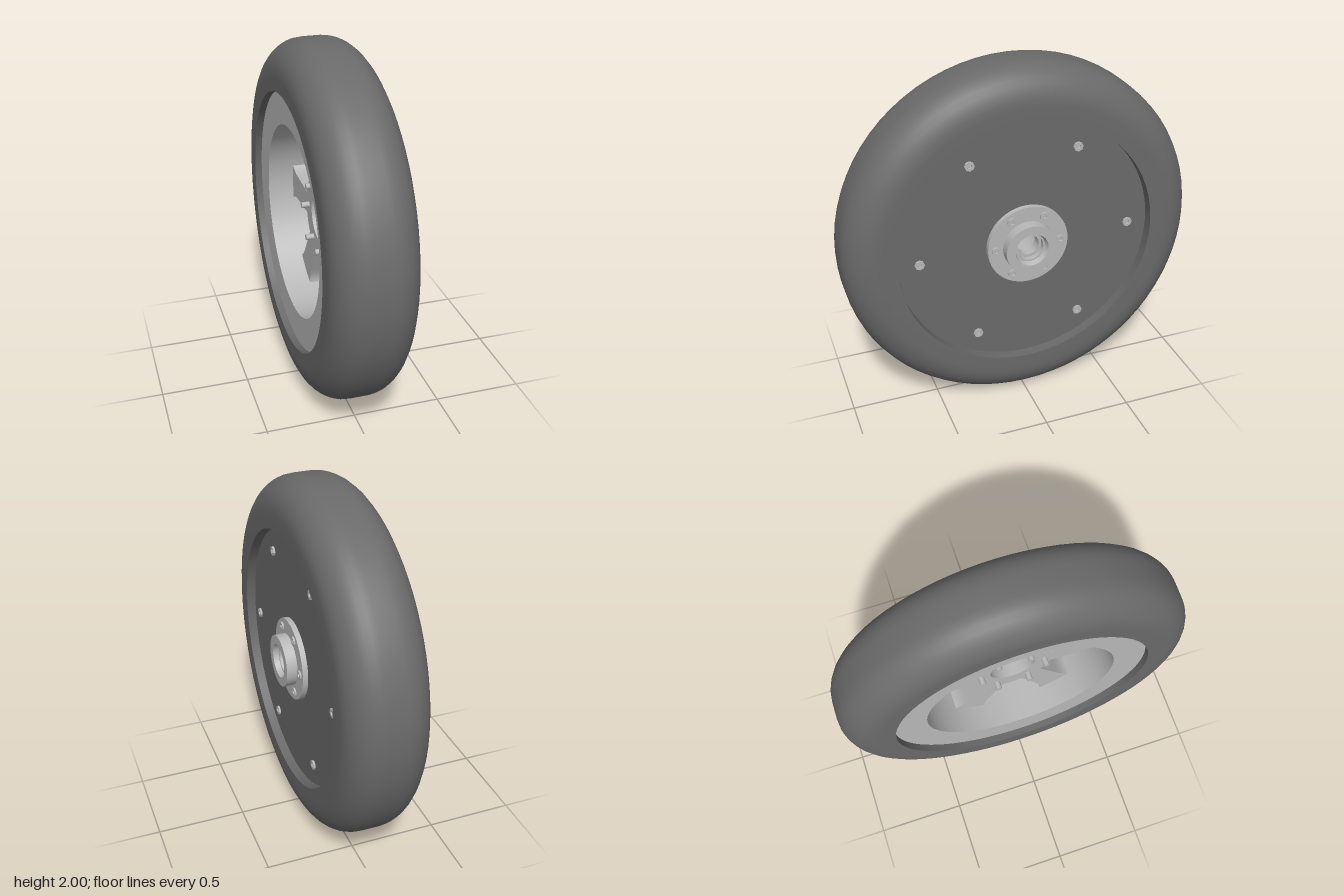
import * as THREE from 'three';
import { toCreasedNormals } from 'three/addons/utils/BufferGeometryUtils.js';

const rubber = new THREE.MeshStandardMaterial({ color: 0x6a6a6a });
rubber.name = 'dark grey rubber';
const metal = new THREE.MeshStandardMaterial({ color: 0xb8b8b8 });
metal.name = 'light grey metal';

// Turned part about the x axis; profile points are [radius, x]
function turned(name, profile, material, segments = 64) {
  const points = profile.map(([r, x]) => new THREE.Vector2(r, x));
  const geometry = toCreasedNormals(new THREE.LatheGeometry(points, segments), 0.5);
  geometry.rotateZ(-Math.PI / 2);
  const mesh = new THREE.Mesh(geometry, material);
  mesh.name = name;
  return mesh;
}

// Six copies of a part placed round the axle
function ringOfSix(name, make, radius, x, turn) {
  const ring = new THREE.Group();
  ring.name = name;
  for (let i = 0; i < 6; i++) {
    const a = turn + (i * Math.PI) / 3;
    const part = make();
    part.position.set(x, Math.sin(a) * radius, -Math.cos(a) * radius);
    ring.add(part);
  }
  return ring;
}

// Screw head with a hollow socket, facing +x
function socketHead(name, r, h, sides) {
  return turned(name, [[0.4 * r, 0], [r, 0], [r, h], [0.45 * r, h], [0.4 * r, 0.2 * h], [0, 0.2 * h]], metal, sides);
}

function spokeGeometry() {
  const shape = new THREE.Shape();
  shape.moveTo(0.18, -0.062);
  shape.lineTo(0.44, -0.075);
  shape.quadraticCurveTo(0.51, -0.08, 0.54, -0.11);
  shape.lineTo(0.54, 0.11);
  shape.quadraticCurveTo(0.51, 0.08, 0.44, 0.075);
  shape.lineTo(0.18, 0.062);
  shape.closePath();
  const geometry = new THREE.ExtrudeGeometry(shape, { depth: 0.195, bevelEnabled: false, curveSegments: 6 });
  geometry.rotateY(Math.PI / 2);
  geometry.translate(-0.06, 0, 0);
  return toCreasedNormals(geometry, 0.5);
}

export function createModel() {
  const model = new THREE.Group();
  model.name = 'wheel';
  const wheel = new THREE.Group();
  wheel.name = 'wheelAssembly';
  wheel.position.y = 1;
  model.add(wheel);

  // Tyre with rounded shoulders and flat side walls
  const tyre = [[0.725, -0.25], [0.8, -0.25]];
  const arc = (cx, from) => {
    for (let i = 0; i <= 8; i++) {
      const a = from + (i / 8) * (Math.PI / 2);
      tyre.push([0.81 + 0.19 * Math.cos(a), cx + 0.18 * Math.sin(a)]);
    }
  };
  arc(-0.07, -Math.PI / 2);
  arc(0.03, 0);
  tyre.push([0.725, 0.21], [0.725, -0.25]);
  wheel.add(turned('tyre', tyre, rubber, 72));

  // Recessed cover disc with a narrow groove at its edge
  wheel.add(turned('coverDisc', [[0.726, 0.148], [0.718, 0.148], [0.718, 0.16], [0.2, 0.16]], rubber));

  // Rim: floor, well wall and outer ring on the open side
  wheel.add(turned('rim', [[0.2, 0.13], [0.54, 0.13], [0.54, -0.21], [0.726, -0.21]], metal));

  // Inner hub and spokes
  wheel.add(turned('innerHub', [[0.13, -0.06], [0.235, -0.06], [0.235, 0.13], [0.13, 0.13], [0.13, -0.06]], metal, 48));
  const spokeShape = spokeGeometry();
  const spokes = new THREE.Group();
  spokes.name = 'spokes';
  for (let i = 0; i < 6; i++) {
    const spoke = new THREE.Mesh(spokeShape, metal);
    spoke.name = 'spoke';
    spoke.rotation.x = (i * Math.PI) / 3;
    spokes.add(spoke);
  }
  wheel.add(spokes);

  // Outer flange with a raised boss and stepped bore
  wheel.add(turned('hubFlange', [
    [0.06, 0.13], [0.23, 0.13], [0.23, 0.19], [0.145, 0.19], [0.145, 0.25],
    [0.095, 0.25], [0.085, 0.22], [0.075, 0.22], [0.075, 0.19], [0.06, 0.19], [0.06, 0.13],
  ], metal, 48));

  // Screws on the cover and flange, bolt ends on the inner hub
  wheel.add(ringOfSix('coverScrews', () => socketHead('coverScrew', 0.027, 0.012, 8), 0.602, 0.16, 0.026));
  wheel.add(ringOfSix('flangeScrews', () => socketHead('flangeScrew', 0.025, 0.01, 16), 0.185, 0.19, 0.015));
  wheel.add(ringOfSix('boltEnds', () => {
    const geometry = new THREE.CylinderGeometry(0.017, 0.017, 0.06, 12);
    geometry.rotateZ(Math.PI / 2);
    const bolt = new THREE.Mesh(geometry, metal);
    bolt.name = 'boltEnd';
    return bolt;
  }, 0.185, -0.075, 0.015));

  return model;
}
